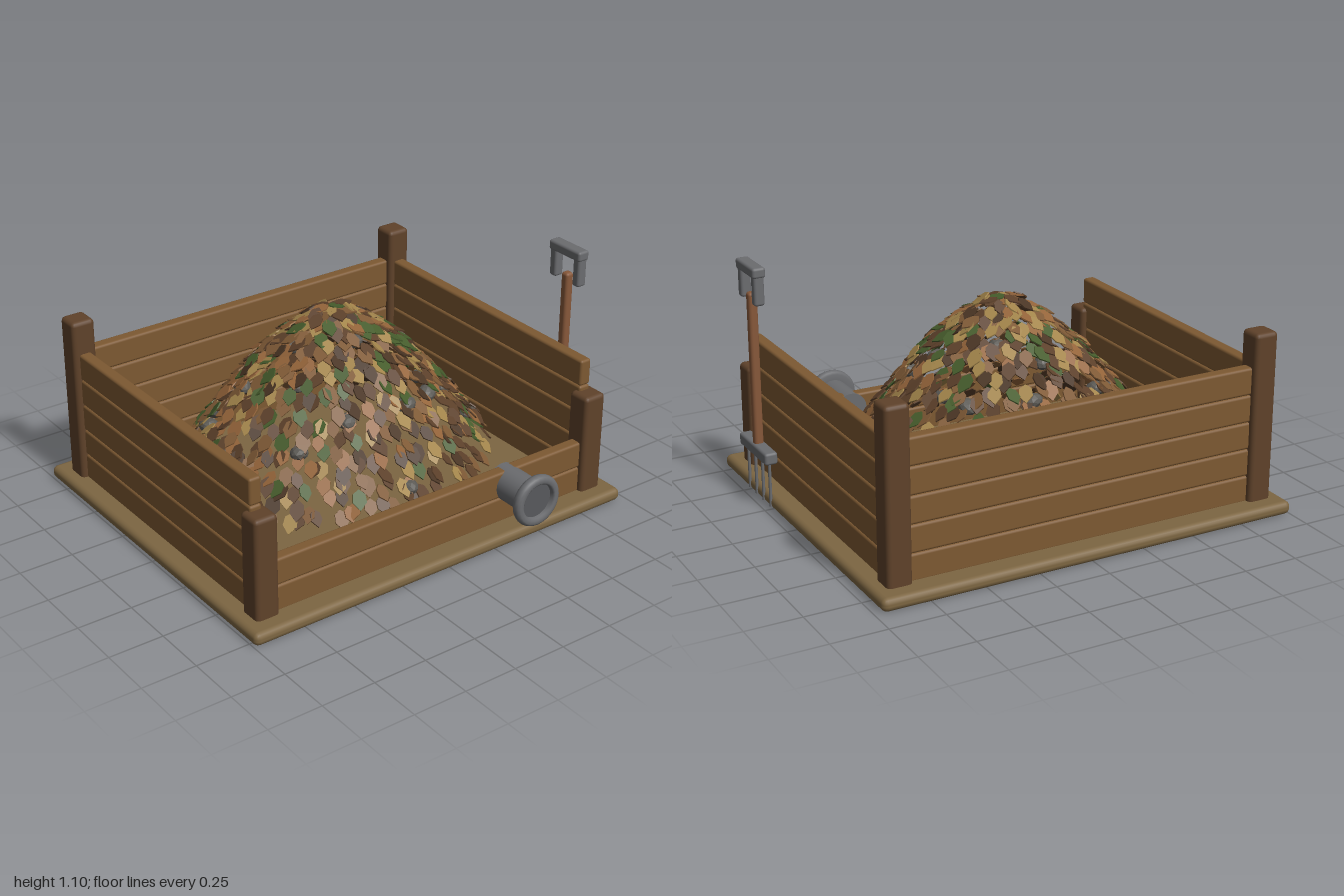
import * as THREE from 'three';
import { mergeGeometries } from 'three/addons/utils/BufferGeometryUtils.js';
import { RoundedBoxGeometry } from 'three/addons/geometries/RoundedBoxGeometry.js';

const mat = (color, flatShading = false) => new THREE.MeshStandardMaterial({ color, flatShading });
const SOIL = mat(0x7d6642), BOARD = mat(0x7d5932), POST = mat(0x5f422a);
const HANDLE = mat(0x87583a), METAL = mat(0x6b6c6f), DARK = mat(0x58595c), STONE = mat(0x5c5a55, true);

// small seeded random generator
let seed = 7;
const rnd = () => {
  seed = (seed * 16807) % 2147483647;
  return seed / 2147483647;
};
const jit = (a) => (rnd() - 0.5) * 2 * a;

function add(parent, name, geometry, material, x = 0, y = 0, z = 0) {
  const m = new THREE.Mesh(geometry, material);
  m.name = name;
  m.position.set(x, y, z);
  parent.add(m);
  return m;
}
const rbox = (w, h, d, r = 0.012) => new RoundedBoxGeometry(w, h, d, 2, r);

// heap profile: radius against height
const PROFILE = [[0, 0.92], [0.08, 0.9], [0.2, 0.82], [0.36, 0.69], [0.52, 0.5], [0.69, 0.29], [0.8, 0.13]];
function heapAt(r) {
  let i = 0;
  while (i < PROFILE.length - 2 && r > PROFILE[i + 1][0]) i++;
  const [r0, y0] = PROFILE[i], [r1, y1] = PROFILE[i + 1];
  const slope = (y1 - y0) / (r1 - r0);
  return { y: y0 + slope * (r - r0), angle: Math.atan(slope) };
}
// the heap is narrower front to back, more so near its foot
const squash = (r) => 0.92 - 0.13 * (r / 0.8);

function makeLeaf() {
  const s = new THREE.Shape();
  s.moveTo(-0.042, 0);
  s.lineTo(-0.022, 0.026);
  s.lineTo(0.014, 0.03);
  s.lineTo(0.05, 0);
  s.lineTo(0.014, -0.03);
  s.lineTo(-0.022, -0.026);
  s.closePath();
  return new THREE.ExtrudeGeometry(s, { depth: 0.006, bevelEnabled: false }).rotateX(-Math.PI / 2);
}

function makeHeap() {
  const heap = new THREE.Group();
  heap.name = 'leafHeap';
  const colors = [0x5c402a, 0x7f5a36, 0x94643a, 0xa3854b, 0x465c2c, 0x4a3524];
  const weights = [0.25, 0.47, 0.62, 0.75, 0.87, 1];
  const piles = colors.map(() => []);
  const leaf = makeLeaf();
  const count = 760;
  const m = new THREE.Matrix4(), q = new THREE.Quaternion(), e = new THREE.Euler();
  for (let i = 0; i < count; i++) {
    // sunflower spread down the slope, tips pointing outward
    const r = Math.min(0.77, Math.max(0.02, 0.75 * Math.pow((i + 0.5) / count, 0.54) + jit(0.02)));
    const a = i * 2.39996 + jit(0.06);
    const { y, angle } = heapAt(r);
    e.set(jit(0.2), -a + jit(0.45), angle * 0.85 + jit(0.15), 'YZX');
    const scale = 0.85 + rnd() * 0.25;
    m.compose(
      new THREE.Vector3(Math.cos(a) * r, y + jit(0.012), Math.sin(a) * r * squash(r)),
      q.setFromEuler(e),
      new THREE.Vector3(scale, 1, scale)
    );
    const pick = rnd();
    piles[weights.findIndex((w) => pick <= w)].push(leaf.clone().applyMatrix4(m));
  }
  piles.forEach((p, i) => add(heap, 'leaves' + (i + 1), mergeGeometries(p), mat(colors[i], true)));

  // stones half buried under the leaves
  for (let i = 0; i < 16; i++) {
    const a = i * 0.393 + jit(0.15), r = 0.42 + rnd() * 0.26;
    const stone = add(heap, 'stone', new THREE.IcosahedronGeometry(0.045, 1), STONE,
      Math.cos(a) * r, heapAt(r).y - 0.045, Math.sin(a) * r * squash(r));
    stone.scale.set(1.1, 0.75, 0.9);
    stone.rotation.set(jit(0.4), rnd() * 6, jit(0.4));
  }
  return heap;
}

function makePipe() {
  const pipe = new THREE.Group();
  pipe.name = 'drainPipe';
  pipe.position.set(0.4, 0.23, 0);
  const tube = add(pipe, 'pipeTube', new THREE.CylinderGeometry(0.078, 0.078, 0.22, 24), METAL, 0, 0, 0.745);
  tube.rotation.x = Math.PI / 2;
  // rounded rim, turned around the pipe axis
  const rim = [[0.078, 0.838], [0.105, 0.838], [0.115, 0.844], [0.12, 0.856], [0.12, 0.868],
    [0.115, 0.879], [0.105, 0.885], [0.09, 0.885], [0.082, 0.879], [0.08, 0.855]];
  const lip = new THREE.LatheGeometry(rim.map(([r, z]) => new THREE.Vector2(r, z)), 28).rotateX(Math.PI / 2);
  const lipMat = METAL.clone();
  lipMat.side = THREE.DoubleSide;
  add(pipe, 'pipeRim', lip, lipMat);
  add(pipe, 'pipeMouth', new THREE.CircleGeometry(0.082, 28), DARK, 0, 0, 0.862);
  return pipe;
}

function makeFork() {
  const fork = new THREE.Group();
  fork.name = 'gardenFork';
  fork.position.set(0.97, 0, 0.37);
  add(fork, 'forkHandle', rbox(0.042, 0.71, 0.042, 0.014), HANDLE, 0, 0.615, 0);
  add(fork, 'forkGrip', rbox(0.06, 0.047, 0.2), METAL, 0, 1.077, 0);
  add(fork, 'forkHead', rbox(0.06, 0.056, 0.302), METAL, 0, 0.248, 0);
  for (const s of [-1, 1]) add(fork, 'gripArm', rbox(0.048, 0.14, 0.042), METAL, 0, 1.0, s * 0.075);
  for (let i = 0; i < 4; i++) {
    add(fork, 'tine', new THREE.CylinderGeometry(0.007, 0.007, 0.22, 10), METAL, 0, 0.125, (i - 1.5) * 0.08);
  }
  return fork;
}

export function createModel() {
  const model = new THREE.Group();
  model.name = 'compostBin';

  // box and heap share a centre slightly off the origin, balancing fork and pipe
  const bin = new THREE.Group();
  bin.name = 'bin';
  bin.position.set(-0.015, 0, -0.045);
  model.add(bin);
  add(bin, 'basePlate', rbox(1.97, 0.06, 1.69, 0.026), SOIL, 0, 0.032, 0);

  // corner posts, tall at the back
  for (const sx of [-1, 1]) {
    add(bin, 'backPost', rbox(0.112, 0.832, 0.112, 0.02), POST, sx * 0.87, 0.416, -0.71);
    add(bin, 'frontPost', rbox(0.112, 0.53, 0.112, 0.02), POST, sx * 0.87, 0.265, 0.71);
  }

  // stacked boards: five on the back and sides, two at the front
  for (let i = 0; i < 5; i++) {
    const y = 0.115 + i * 0.125;
    add(bin, 'backBoard', rbox(1.74, 0.124, 0.058), BOARD, 0, y, -0.71);
    if (i < 2) add(bin, 'frontBoard', rbox(1.74, 0.124, 0.058), BOARD, 0, y, 0.71);
    for (const sx of [-1, 1]) add(bin, 'sideBoard', rbox(0.058, 0.124, 1.38), BOARD, sx * 0.87, y, 0);
  }

  bin.add(makeHeap());
  model.add(makePipe(), makeFork());
  return model;
}
